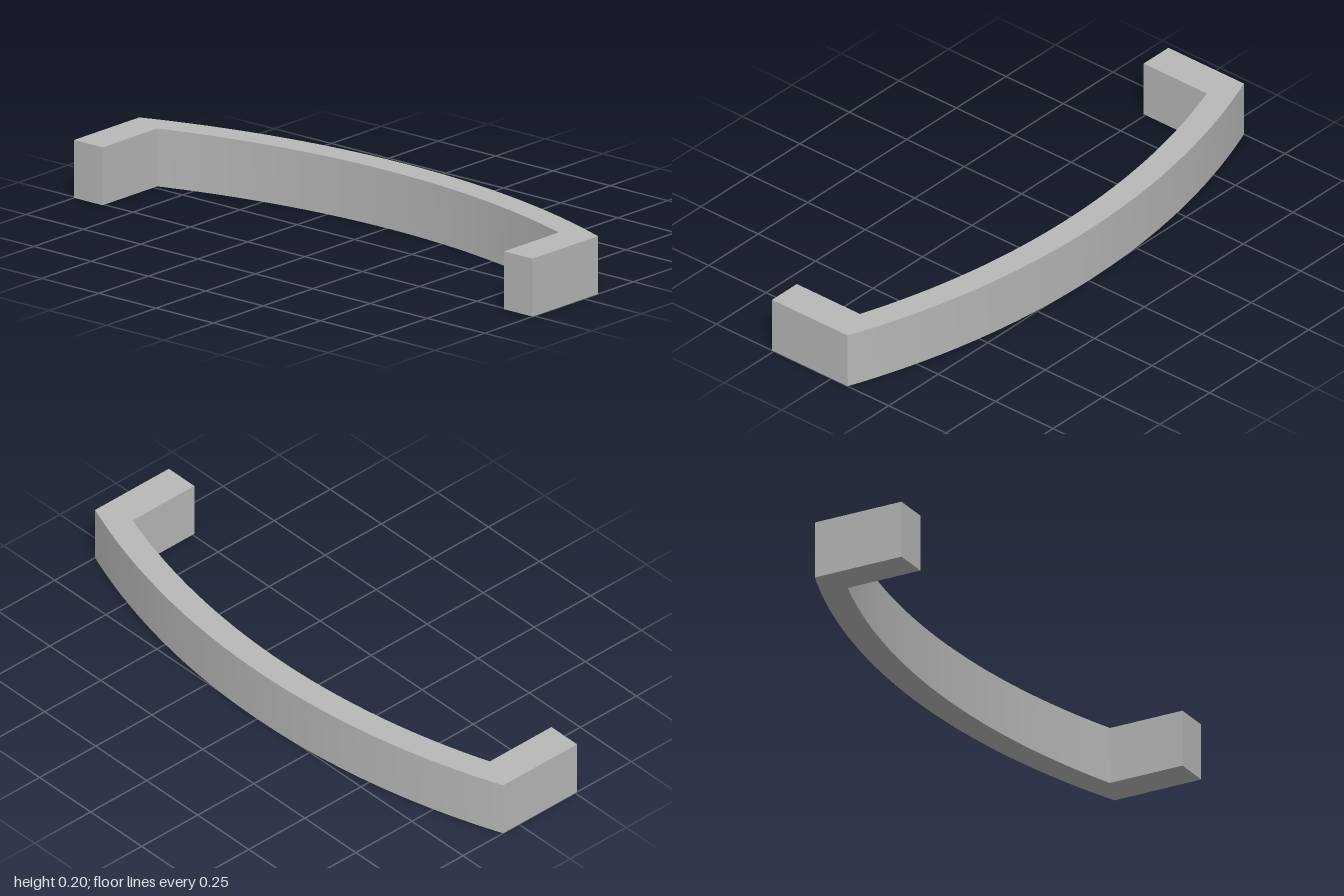
import * as THREE from 'three';
import { toCreasedNormals } from 'three/addons/utils/BufferGeometryUtils.js';

const HEIGHT = 0.2;
const FOOT = 0.258; // front face of the two feet, and depth of the bow's crown

// Circular arc through (-half, end), (0, apex), (half, end), running left to right or back
function arcPoints(half, apex, end, direction, steps = 48) {
  const sagitta = apex - end;
  const radius = (half * half + sagitta * sagitta) / (2 * sagitta);
  const spread = Math.asin(half / radius);
  const points = [];
  for (let i = 0; i <= steps; i++) {
    const a = direction * spread * ((2 * i) / steps - 1);
    points.push(new THREE.Vector2(radius * Math.sin(a), apex - radius + radius * Math.cos(a)));
  }
  return points;
}

export function createModel() {
  const group = new THREE.Group();
  group.name = 'bowHandle';

  const greyMetal = new THREE.MeshStandardMaterial({ color: 0xb8b8b8 });
  greyMetal.name = 'greyMetal';

  // Plan outline (shape y is -z): outer bow, right-hand foot, inner bow, left-hand foot
  const outline = new THREE.Shape([
    ...arcPoints(1, FOOT, 0.071, 1),
    new THREE.Vector2(1, -FOOT),
    new THREE.Vector2(0.875, -FOOT),
    ...arcPoints(0.875, 0.163, 0.017, -1),
    new THREE.Vector2(-0.875, -FOOT),
    new THREE.Vector2(-1, -FOOT),
  ]);

  // Extrude upwards, with the bow smooth and the corners sharp
  const extruded = new THREE.ExtrudeGeometry(outline, { depth: HEIGHT, bevelEnabled: false });
  extruded.rotateX(-Math.PI / 2);
  const handle = new THREE.Mesh(toCreasedNormals(extruded, Math.PI / 9), greyMetal);
  handle.name = 'curvedHandle';
  group.add(handle);

  return group;
}
